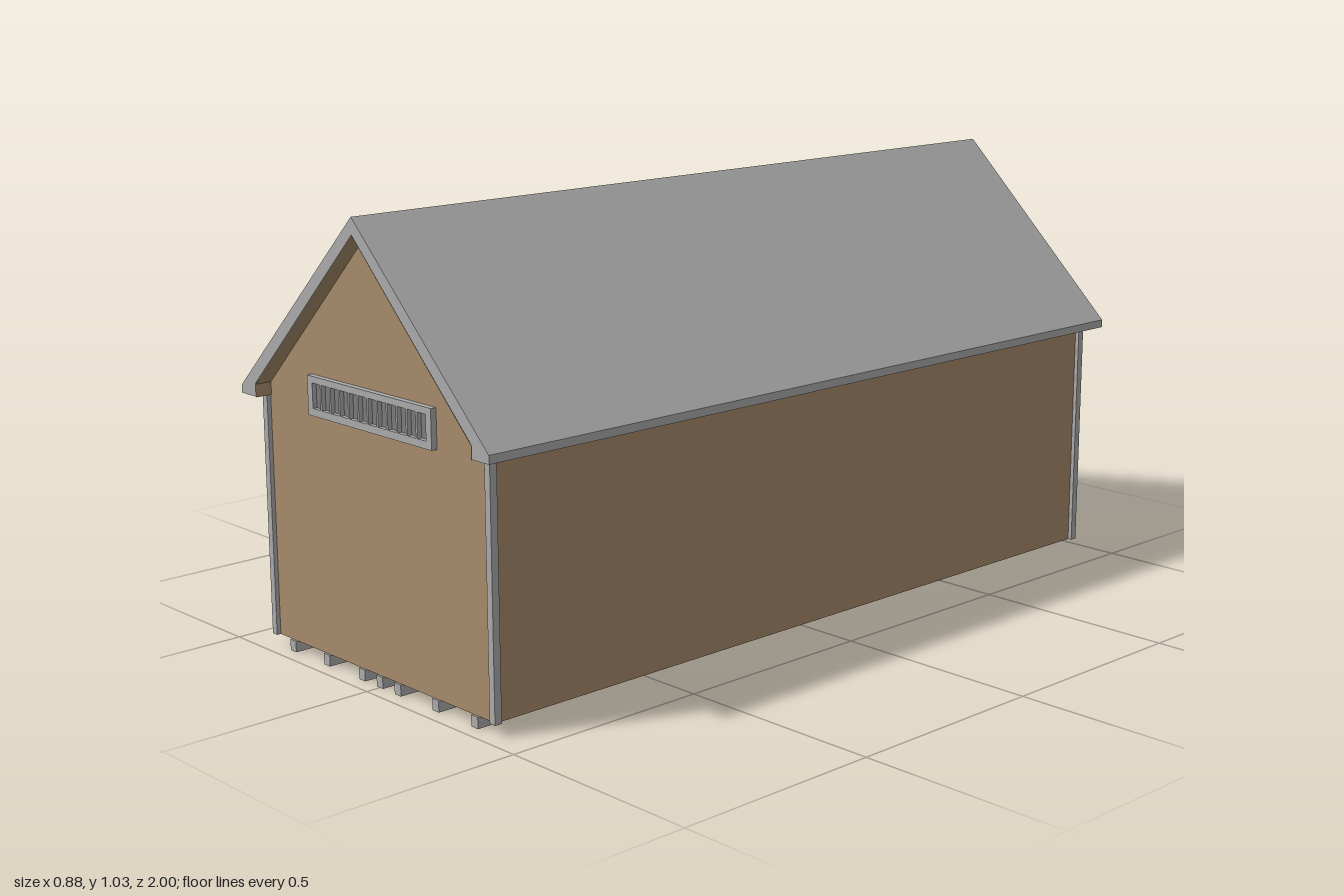
import * as THREE from 'three';

export function createModel() {
  const group = new THREE.Group();
  const grey = new THREE.MeshStandardMaterial({ name: 'grey trim and roof', color: 0xacacac });
  const dark = new THREE.MeshStandardMaterial({ name: 'dark vent openings', color: 0x7c7c7c });
  const tan = new THREE.MeshStandardMaterial({ name: 'tan cladding', color: 0xa88c6b, side: THREE.DoubleSide });

  const add = (name, geometry, material, x = 0, y = 0, z = 0) => {
    const mesh = new THREE.Mesh(geometry, material);
    mesh.name = name;
    mesh.position.set(x, y, z);
    group.add(mesh);
    return mesh;
  };
  const box = (name, w, h, d, material, x, y, z) =>
    add(name, new THREE.BoxGeometry(w, h, d), material, x, y, z);
  const shape = (points) => new THREE.Shape(points.map(([x, y]) => new THREE.Vector2(x, y)));

  const floorY = 0.026, eaveY = 0.59, wallX = 0.394, wallZ = 0.96;

  // Roof: thick gabled profile with boxed eaves, full length
  const soffit = [[-0.385, eaveY], [-0.385, 0.62], [0, 0.997], [0.385, 0.62], [0.385, eaveY]];
  const roof = shape([[0.44, eaveY], [0.44, 0.609], [0, 1.035], [-0.44, 0.609], [-0.44, eaveY], ...soffit]);
  add('roof', new THREE.ExtrudeGeometry(roof, { depth: 2, bevelEnabled: false }), grey, 0, 0, -1);

  // Tan lining on the underside of the roof, just inside the profile
  const lining = new THREE.PlaneGeometry(1, 2, soffit.length - 1, 1).toNonIndexed();
  const pos = lining.attributes.position;
  for (let i = 0; i < pos.count; i++) {
    const [x, y] = soffit[Math.round((pos.getX(i) + 0.5) * (soffit.length - 1))];
    pos.setXYZ(i, x * 0.997, y - 0.0015, pos.getY(i));
  }
  lining.computeVertexNormals();
  add('roofLining', lining, tan);

  // Gable walls; the building is hollow and open underneath
  const gable = new THREE.ShapeGeometry(shape(
    [[wallX, floorY], [wallX, eaveY], [0.385, eaveY], [0.385, 0.62], [0, 0.997],
      [-0.385, 0.62], [-0.385, eaveY], [-wallX, eaveY], [-wallX, floorY]]));
  add('frontWall', gable, tan, 0, 0, wallZ);
  add('backWall', gable, tan, 0, 0, -wallZ).rotation.y = Math.PI;

  // Side walls and corner posts
  const wallH = eaveY - floorY, midY = (eaveY + floorY) / 2;
  for (const s of [-1, 1]) {
    add(s > 0 ? 'leftWall' : 'rightWall', new THREE.PlaneGeometry(2 * wallZ, wallH), tan, s * wallX, midY, 0)
      .rotation.y = s * Math.PI / 2;
    for (const e of [-1, 1])
      box('cornerPost', 0.017, wallH, 0.018, grey, s * 0.3955, midY, e * 0.961);
  }

  // Skids under the floor
  for (const x of [-0.33, -0.198, -0.065, 0, 0.065, 0.198, 0.33])
    box('skid', 0.022, floorY, 1.93, grey, x, floorY / 2, 0);

  // Front vent: frame with twelve openings over a dark backing
  const vent = shape([[-0.22, 0.573], [0.22, 0.573], [0.22, 0.662], [-0.22, 0.662]]);
  for (let i = 0; i < 12; i++) {
    const x = (i - 5.5) * 0.0341, w = 0.0143;
    vent.holes.push(new THREE.Path([[x - w, 0.59], [x - w, 0.647], [x + w, 0.647], [x + w, 0.59]]
      .map(([a, b]) => new THREE.Vector2(a, b))));
  }
  add('ventFrame', new THREE.ExtrudeGeometry(vent, { depth: 0.014, bevelEnabled: false }), grey, 0, 0, wallZ);
  box('ventOpenings', 0.42, 0.07, 0.003, dark, 0, 0.6185, wallZ + 0.002);

  return group;
}
